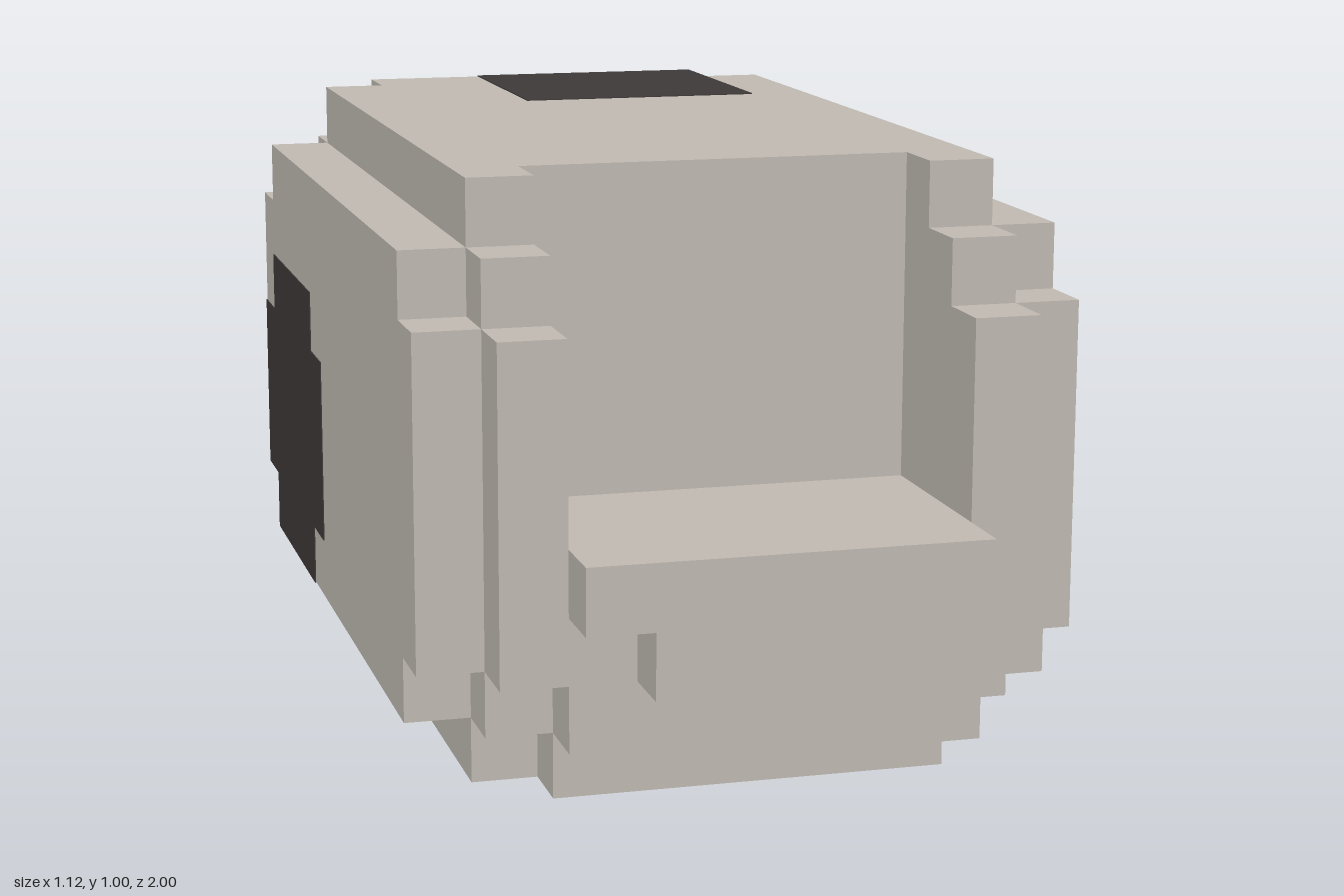
import * as THREE from 'three';

const U = 1 / 9; // one block

// Bounds are [x0, x1, y0, y1, z0, z1] in blocks
function block(b, material, name, grow = 0) {
  const size = i => (b[i + 1] - b[i]) * U + 2 * grow;
  const mid = i => ((b[i] + b[i + 1]) / 2) * U;
  const mesh = new THREE.Mesh(new THREE.BoxGeometry(size(0), size(2), size(4)), material);
  mesh.position.set(mid(0), mid(2), mid(4));
  mesh.name = name;
  return mesh;
}

function clip(a, b) {
  const r = a.map((v, i) => (i % 2 ? Math.min(v, b[i]) : Math.max(v, b[i])));
  return r[0] < r[1] && r[2] < r[3] && r[4] < r[5] ? r : null;
}

export function createModel() {
  const stone = new THREE.MeshStandardMaterial({ color: 0xbfb9b1 });
  stone.name = 'warmGrey';
  const dark = new THREE.MeshStandardMaterial({ color: 0x3f3939 });
  dark.name = 'charcoal';

  const model = new THREE.Group();
  model.name = 'blockBody';

  // Rounded block body: crossing slabs leave stepped edges and corners
  const slabs = [
    [-4, 4, 0, 9, -6, 6], [-3, 3, 0, 9, -7, 7],
    [-5, 5, 2, 7, -7, 7], [-5, 5, 1, 8, -6, 6],
    [-4, 4, 2, 7, -8, 8], [-3, 3, 1, 8, -8, 8],
    [-4, 4, 1, 8, -7, 7],
  ];

  // Regions surrounding the open recess at the upper front
  const regions = {
    mainBody: [-5, 5, 0, 9, -9, 5],
    lowerFront: [-5, 5, 0, 4, 5, 9],
    leftCheek: [3, 5, 4, 9, 5, 9],
    rightCheek: [-5, -3, 4, 9, 5, 9],
  };
  for (const [name, region] of Object.entries(regions)) {
    const part = new THREE.Group();
    part.name = name;
    for (const slab of slabs) {
      const b = clip(slab, region);
      if (b) part.add(block(b, stone, name + 'Block'));
    }
    model.add(part);
  }

  // Front lip, level with the recess floor
  model.add(block([-3, 3, 3, 4, 8, 9], stone, 'lipTop'));
  model.add(block([-2, 2, 2, 4, 8, 9], stone, 'lipBottom'));

  // Rear pad with chipped corners
  model.add(block([-3, 3, 3, 6, -9, -8], stone, 'rearPadWide'));
  model.add(block([-2, 2, 2, 7, -9, -8], stone, 'rearPadTall'));

  // Dark spots, barely proud of the body
  const spots = [
    ['topSpot', [-1, 3, 8, 9, -7, -3]],
    ['leftSpotTall', [4, 5, 3, 8, 1, 3]],
    ['leftSpotWide', [4, 5, 4, 7, 0, 4]],
    ['rightSpotTall', [-5, -4, 1, 6, -6, -2]],
    ['rightSpotWide', [-5, -4, 2, 5, -7, -1]],
  ];
  for (const [name, b] of spots) model.add(block(b, dark, name, 0.002));

  return model;
}
